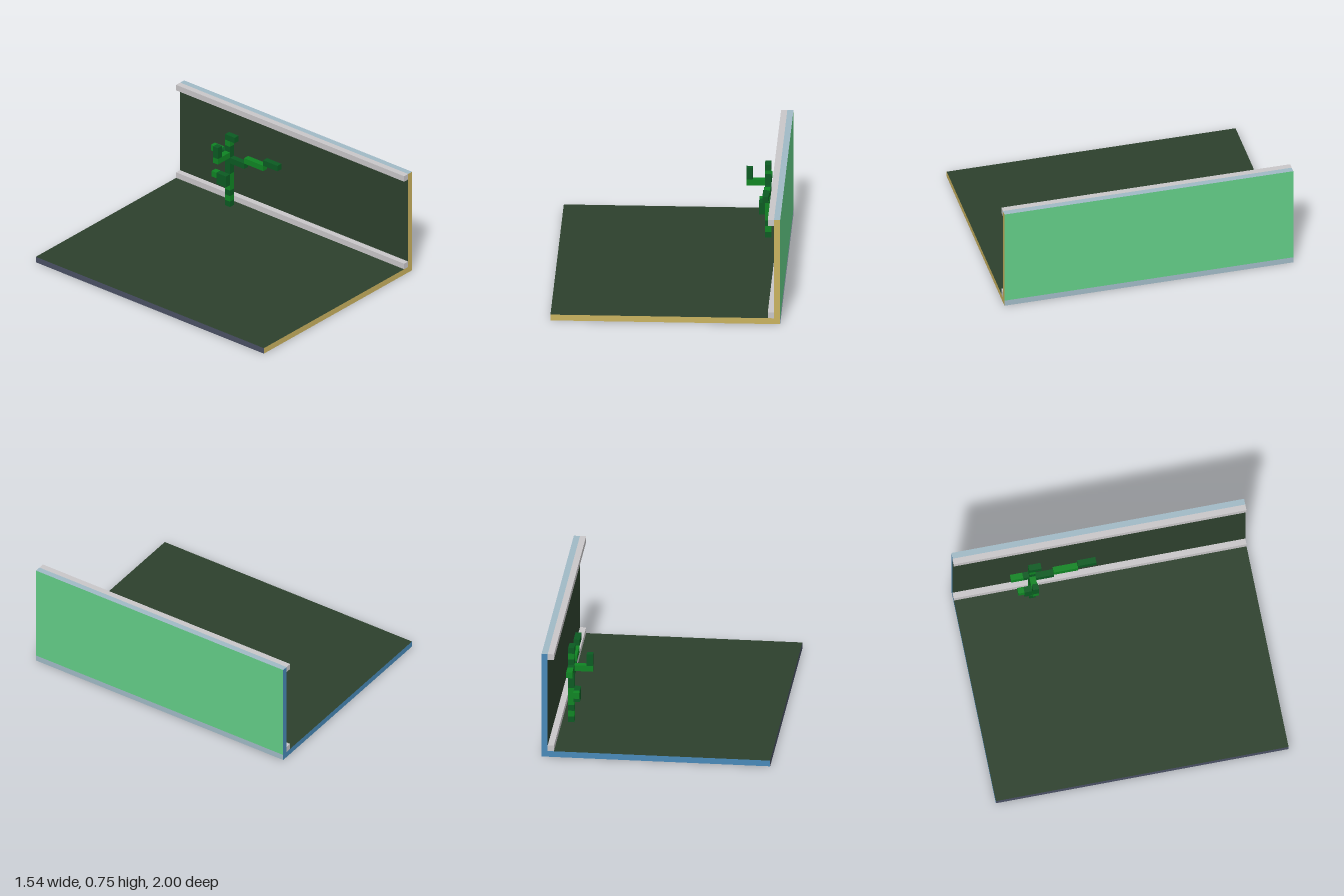
import * as THREE from 'three';

const U = 1 / 24; // one grid cell

const mat = (name, color) => {
  const m = new THREE.MeshStandardMaterial({ color });
  m.name = name;
  return m;
};

export function createModel() {
  const model = new THREE.Group();
  const moss = mat('dark moss', 0x2d402d);
  const mint = mat('mint green', 0x62cc86);
  const paleBlue = mat('pale blue grey', 0xa0b9c5);
  const grey = mat('light grey', 0xc8c6c8);
  const ochre = mat('ochre', 0xc9b25f);
  const blue = mat('blue', 0x4889b8);
  const slate = mat('slate', 0x4a5064);
  const leafDark = mat('dark leaf', 0x0b5a22);
  const leafLight = mat('light leaf', 0x0f8423);

  // Box given by its first grid cell and its size in cells
  const box = (name, [i, j, k], [w, h, d], material, parent = model) => {
    const mesh = new THREE.Mesh(new THREE.BoxGeometry(w * U, h * U, d * U), material);
    mesh.name = name;
    mesh.position.set((i + w / 2 - 18.5) * U, (j + h / 2) * U, (k + d / 2 - 24) * U);
    parent.add(mesh);
  };

  // Slab and wall; face order +x, -x, +y, -y, +z, -z
  box('floor', [0, 0, 0], [37, 1, 48], [paleBlue, slate, moss, mint, ochre, blue]);
  box('wall', [36, 1, 0], [1, 17, 48], [mint, moss, paleBlue, mint, ochre, blue]);

  // Rails along the wall
  box('lowerRail', [35, 1, 0], [1, 1, 48], grey);
  box('upperRail', [35, 17, 0], [1, 1, 48], grey);

  // Climbing plant
  const plant = new THREE.Group();
  plant.name = 'plant';
  model.add(plant);

  // Stem in bands: first row, rows, colour
  const bands = [
    [1, 1, leafDark], [2, 1, leafLight], [3, 1, leafDark], [4, 3, leafLight],
    [7, 5, leafDark], [12, 1, leafLight], [13, 1, leafDark],
  ];
  for (const [j, h, m] of bands) box('stem', [33, j, 12], [1, h, 1], m, plant);
  box('stemTip', [33, 13, 13], [1, 1, 1], leafDark, plant);

  // Low leaf
  box('lowLeaf', [32, 5, 11], [1, 1, 2], leafDark, plant);
  box('lowLeaf', [32, 6, 11], [1, 1, 2], leafDark, plant);
  box('lowLeafTip', [32, 6, 10], [1, 1, 1], leafLight, plant);

  // Side branch with raised end
  box('sideBranch', [30, 10, 12], [3, 1, 1], leafLight, plant);
  box('sideBranchTip', [30, 11, 12], [1, 2, 1], leafDark, plant);

  // Back branch
  box('backBranch', [33, 10, 11], [1, 1, 1], leafDark, plant);
  box('backBranchTip', [33, 10, 9], [1, 1, 2], leafLight, plant);

  // Front branch rising in steps
  box('frontBranch', [33, 9, 13], [1, 1, 3], leafDark, plant);
  box('frontBranchMiddle', [33, 10, 16], [1, 1, 4], leafLight, plant);
  box('frontBranchTip', [33, 11, 20], [1, 1, 3], leafDark, plant);

  return model;
}
